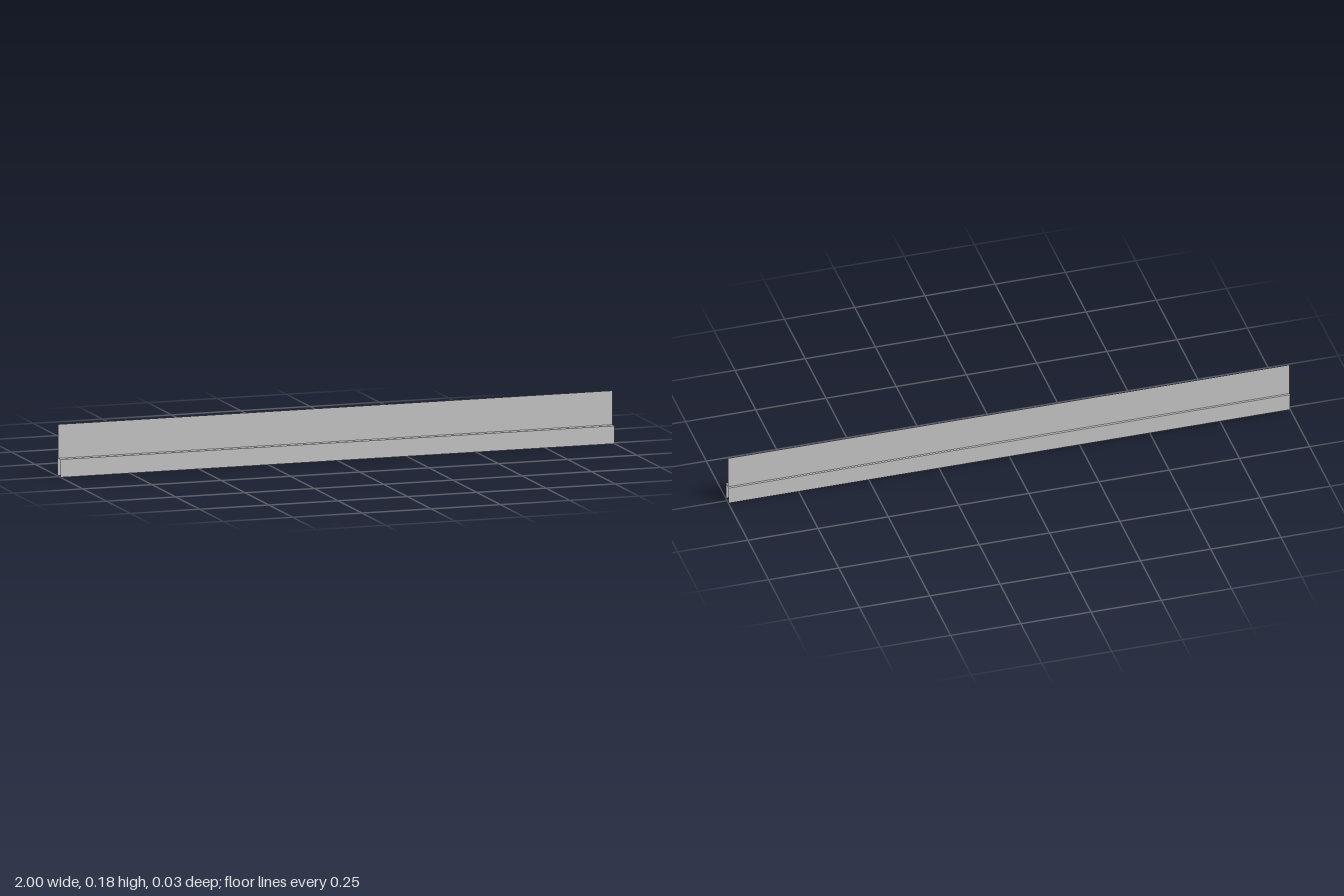
import * as THREE from 'three';

const LENGTH = 2, HEIGHT = 0.18, LEDGE = 0.062, HALF_DEPTH = 0.016, WEB_Z = -0.008;

export function createModel() {
  const group = new THREE.Group();
  group.name = 'sheetProfile';
  const material = new THREE.MeshStandardMaterial({
    color: 0xcccccc, side: THREE.DoubleSide, flatShading: true,
  });

  // One thin sheet running the full length
  const addSheet = (name, width, y, z, flat = false) => {
    const geometry = new THREE.PlaneGeometry(LENGTH, width);
    if (flat) geometry.rotateX(-Math.PI / 2);
    const mesh = new THREE.Mesh(geometry, material);
    mesh.name = name;
    mesh.position.set(0, y, z);
    group.add(mesh);
  };

  // Tall upright web standing on the channel
  addSheet('uprightWeb', HEIGHT - LEDGE, (HEIGHT + LEDGE) / 2, WEB_Z);

  // Top of the channel, in front of and behind the web
  addSheet('frontLedge', HALF_DEPTH - WEB_Z, LEDGE, (HALF_DEPTH + WEB_Z) / 2, true);
  addSheet('backLedge', HALF_DEPTH + WEB_Z, LEDGE, (WEB_Z - HALF_DEPTH) / 2, true);

  // Two hanging flanges, open underneath and at the ends
  addSheet('frontFlange', LEDGE, LEDGE / 2, HALF_DEPTH);
  addSheet('backFlange', LEDGE, LEDGE / 2, -HALF_DEPTH);

  return group;
}
